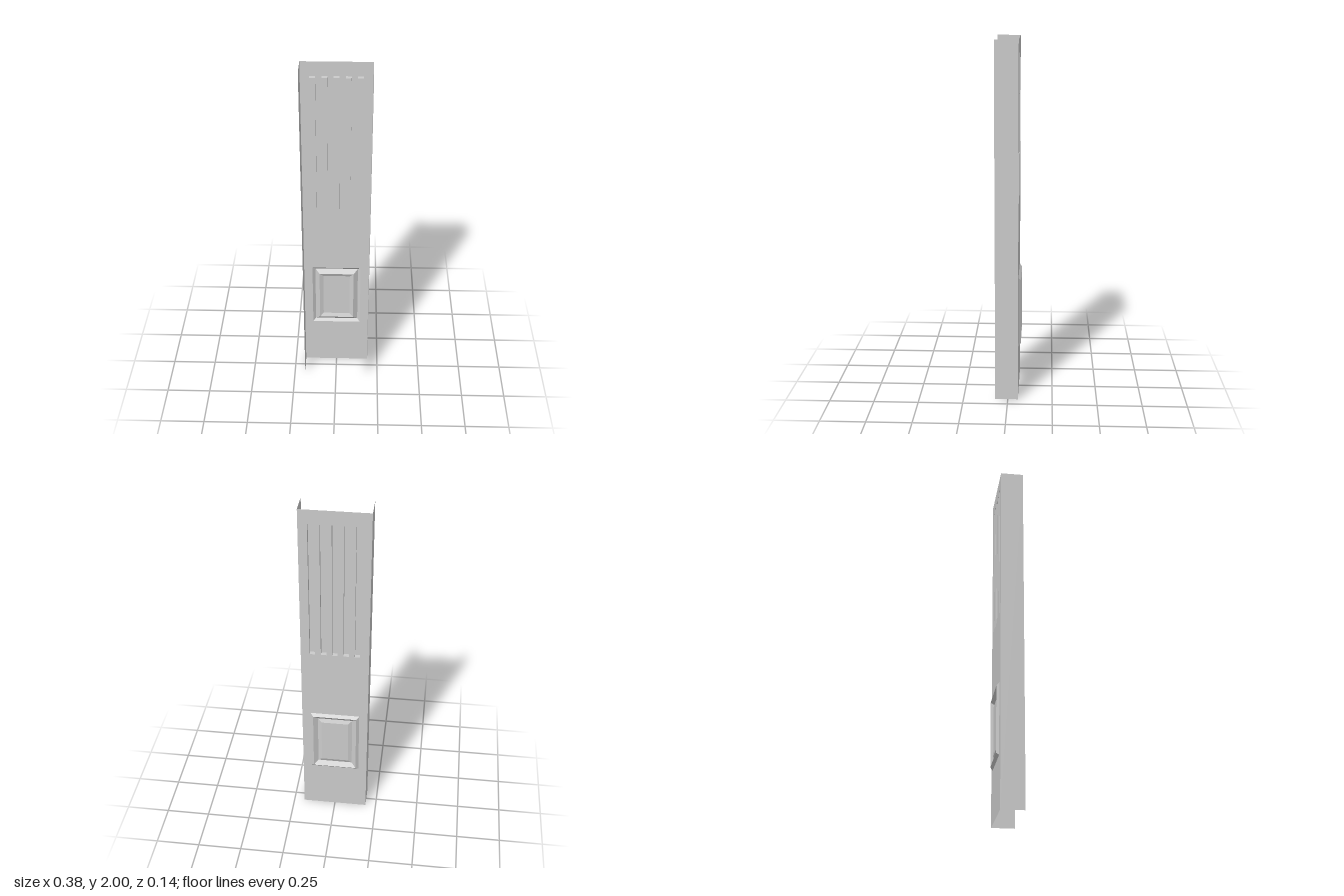
import * as THREE from 'three';

const HALF_W = 0.188, HEIGHT = 2, SHEET_Z = -0.057, LIP_Z = 0.071;
const material = new THREE.MeshStandardMaterial({
  color: 0xcccccc, side: THREE.DoubleSide, flatShading: true,
});

function makeMesh(name, geometry) {
  const mesh = new THREE.Mesh(geometry, material);
  mesh.name = name;
  return mesh;
}

// Pressed rectangle: nested rings of [inset, z], closed by a flat cap at the last ring
function pressing({ x, y, w, h }, rings) {
  const corners = rings.map(([inset, z]) => {
    const a = w / 2 - inset, b = h / 2 - inset;
    return [[-a, -b], [a, -b], [a, b], [-a, b]].map(([u, v]) => [x + u, y + v, z]);
  });
  const pos = [];
  const quad = (a, b, c, d) => pos.push(...a, ...b, ...c, ...a, ...c, ...d);
  for (let i = 0; i < corners.length - 1; i++) {
    for (let j = 0; j < 4; j++) {
      const k = (j + 1) % 4;
      quad(corners[i][j], corners[i][k], corners[i + 1][k], corners[i + 1][j]);
    }
  }
  quad(...corners[corners.length - 1]);
  const geometry = new THREE.BufferGeometry();
  geometry.setAttribute('position', new THREE.Float32BufferAttribute(pos, 3));
  geometry.computeVertexNormals();
  return geometry;
}

function rectPath(path, { x, y, w, h }) {
  path.moveTo(x - w / 2, y - h / 2);
  path.lineTo(x + w / 2, y - h / 2);
  path.lineTo(x + w / 2, y + h / 2);
  path.lineTo(x - w / 2, y + h / 2);
  path.closePath();
  return path;
}

export function createModel() {
  const group = new THREE.Group();
  group.name = 'pressedChannelPanel';

  const panel = { x: 0, y: 0.5, w: 0.28, h: 0.404 };
  const grooves = [-2, -1, 0, 1, 2].map((i) => ({ x: i * 0.062, y: 1.52, w: 0.03, h: 0.8 }));

  // Web sheet, cut out where the pressings sit
  const web = rectPath(new THREE.Shape(), { x: 0, y: HEIGHT / 2, w: HALF_W * 2, h: HEIGHT });
  web.holes = [panel, ...grooves].map((r) => rectPath(new THREE.Path(), r));
  const sheet = makeMesh('webSheet', new THREE.ShapeGeometry(web));
  sheet.position.z = SHEET_Z;
  group.add(sheet);

  // Side flanges folded forward
  for (const side of [-1, 1]) {
    const flange = makeMesh(side > 0 ? 'leftFlange' : 'rightFlange',
      new THREE.PlaneGeometry(LIP_Z - SHEET_Z, HEIGHT));
    flange.rotation.y = side * Math.PI / 2;
    flange.position.set(side * HALF_W, HEIGHT / 2, (LIP_Z + SHEET_Z) / 2);
    group.add(flange);
  }

  // Vertical grooves sunk from the back, standing as ribs on the front
  grooves.forEach((g, i) => group.add(makeMesh(`groove${i + 1}`,
    pressing(g, [[0, SHEET_Z], [0, -0.033]]))));

  // Moulded panel: raised rim, valley, then a raised field
  group.add(makeMesh('mouldedPanel', pressing(panel,
    [[0, SHEET_Z], [0.016, -0.071], [0.041, -0.051], [0.063, -0.061]])));

  return group;
}
